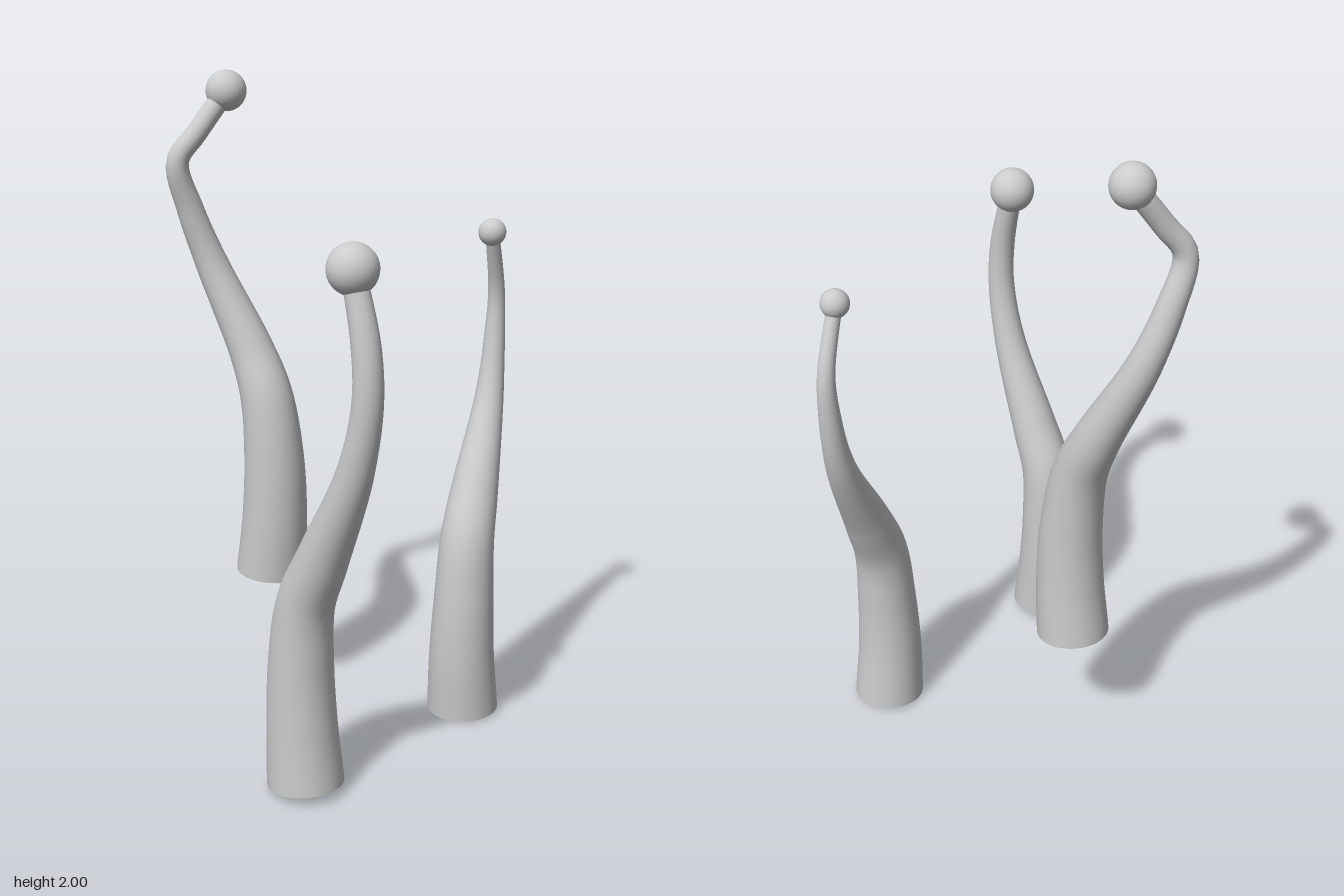
import * as THREE from 'three';

const material = new THREE.MeshStandardMaterial({ color: 0xcccccc });
const RINGS = 64, SIDES = 32;

// Tapered tube through [x, y, z, radius] stations, with a flat base and a ball on the tip
function createStalk(name, stations, ballRadius) {
  const stalk = new THREE.Group();
  stalk.name = name;
  const curve = new THREE.CatmullRomCurve3(stations.map(([x, y, z]) => new THREE.Vector3(x, y, z)));
  const taper = new THREE.SplineCurve(stations.map((s, i) => new THREE.Vector2(i, s[3])));

  // Unit tube whose rings are scaled to the taper
  const tube = new THREE.TubeGeometry(curve, RINGS, 1, SIDES);
  const { position, normal } = tube.attributes;
  const v = new THREE.Vector3(), n = new THREE.Vector3();
  for (let i = 0; i <= RINGS; i++) {
    const t = curve.getUtoTmapping(i / RINGS);
    const centre = curve.getPoint(t);
    const radius = taper.getPoint(t).y;
    for (let j = 0; j <= SIDES; j++) {
      const k = i * (SIDES + 1) + j;
      n.fromBufferAttribute(normal, k);
      v.copy(centre).addScaledVector(n, radius);
      position.setXYZ(k, v.x, v.y, v.z);
    }
  }
  const stem = new THREE.Mesh(tube, material);
  stem.name = 'stem';

  // Flat cap facing down along the stem
  const base = new THREE.Mesh(new THREE.CircleGeometry(stations[0][3], SIDES), material);
  base.name = 'base';
  base.position.copy(curve.getPoint(0));
  base.quaternion.setFromUnitVectors(new THREE.Vector3(0, 0, 1), curve.getTangentAt(0).negate());

  const ball = new THREE.Mesh(new THREE.SphereGeometry(ballRadius, 32, 20), material);
  ball.name = 'tipBall';
  ball.position.copy(curve.getPoint(1));

  stalk.add(stem, base, ball);
  return stalk;
}

export function createModel() {
  const group = new THREE.Group();
  group.name = 'stalks';
  group.add(
    // Tall raised stalk on the right, bent forward and back again
    createStalk('rightStalk', [
      [-0.28, 0.42, 0.016, 0.112],
      [-0.263, 0.6, 0.016, 0.104],
      [-0.262, 0.8, 0.017, 0.095],
      [-0.29, 1.0, 0.02, 0.083],
      [-0.352, 1.14, 0.024, 0.071],
      [-0.473, 1.4, 0.07, 0.052],
      [-0.515, 1.58, 0.122, 0.042],
      [-0.522, 1.73, 0.163, 0.035],
      [-0.49, 1.815, 0.11, 0.033],
      [-0.452, 1.94, 0.02, 0.032],
    ], 0.063),
    // Front stalk, curving to the left
    createStalk('frontLeftStalk', [
      [0.283, 0.03, 0.44, 0.112],
      [0.27, 0.2, 0.44, 0.103],
      [0.267, 0.4, 0.44, 0.094],
      [0.286, 0.58, 0.44, 0.084],
      [0.352, 0.73, 0.44, 0.074],
      [0.472, 1.0, 0.44, 0.052],
      [0.516, 1.2, 0.44, 0.043],
      [0.51, 1.35, 0.44, 0.04],
      [0.46, 1.55, 0.437, 0.034],
    ], 0.071),
    // Back stalk, curving backward
    createStalk('backLeftStalk', [
      [0.278, 0.015, -0.288, 0.112],
      [0.281, 0.2, -0.275, 0.103],
      [0.283, 0.4, -0.278, 0.093],
      [0.277, 0.58, -0.297, 0.084],
      [0.255, 0.73, -0.358, 0.073],
      [0.208, 1.0, -0.482, 0.045],
      [0.194, 1.2, -0.52, 0.032],
      [0.196, 1.33, -0.52, 0.026],
      [0.222, 1.52, -0.457, 0.022],
    ], 0.043),
  );
  return group;
}
